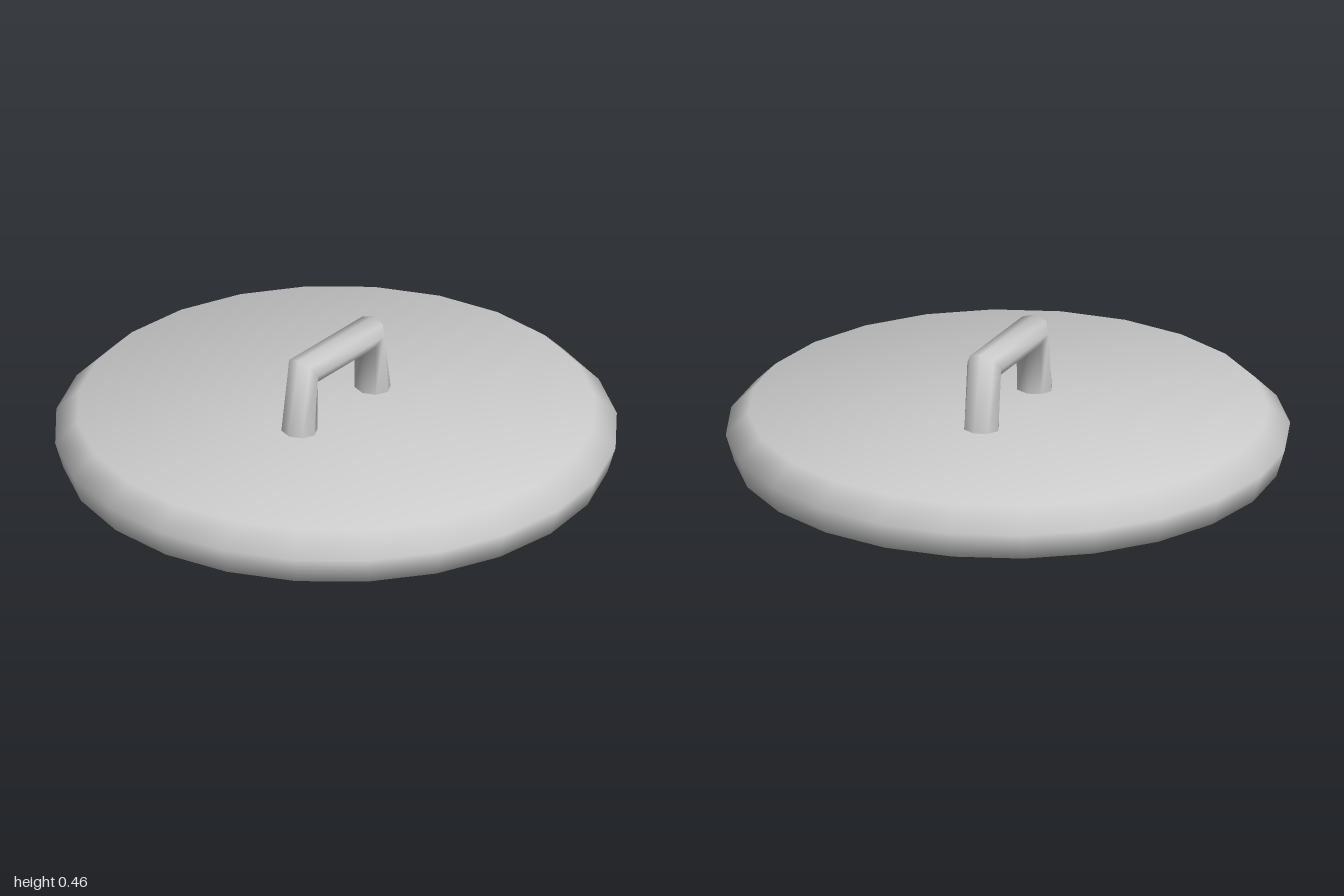
import * as THREE from 'three';

const SIDES = 24;

// Indexed mesh from rings of points (each ring the same length), optionally closed by extra triangles
function loft(rings, extraPoints = [], extraFaces = []) {
  const n = rings[0].length;
  const index = [...extraFaces];
  for (let r = 0; r < rings.length - 1; r++) {
    for (let i = 0; i < n; i++) {
      const a = r * n + i, b = r * n + (i + 1) % n;
      index.push(a, a + n, b, b, a + n, b + n);
    }
  }
  const geometry = new THREE.BufferGeometry().setFromPoints([...rings.flat(), ...extraPoints]);
  geometry.setIndex(index);
  geometry.computeVertexNormals();
  return geometry;
}

// Round disc with a bevelled rim; normals blend softly from the rim into both faces
function discGeometry() {
  // radius, height, tilt of the normal above the horizon
  const profile = [[0.97, 0, -0.9], [1, 0.1, 0.27], [0.92, 0.18, 1.18]];
  const rings = profile.map(([r, y]) => Array.from({ length: SIDES }, (_, i) => {
    const a = i / SIDES * Math.PI * 2;
    return new THREE.Vector3(Math.cos(a) * r, y, Math.sin(a) * r);
  }));
  const bottom = 3 * SIDES, top = bottom + 1, topRing = 2 * SIDES;
  const faces = [];
  for (let i = 0; i < SIDES; i++) {
    const j = (i + 1) % SIDES;
    faces.push(top, topRing + j, topRing + i);
    // The underside leaves one quarter segment open beyond a straight chord
    if (i >= SIDES / 4) faces.push(bottom, i, j);
  }
  faces.push(bottom, 0, SIDES / 4);
  const geometry = loft(rings, [new THREE.Vector3(0, 0, 0), new THREE.Vector3(0, 0.18, 0)], faces);
  const normal = geometry.attributes.normal;
  profile.forEach(([, , tilt], r) => {
    for (let i = 0; i < SIDES; i++) {
      const a = i / SIDES * Math.PI * 2;
      normal.setXYZ(r * SIDES + i, Math.cos(a) * Math.cos(tilt), Math.sin(tilt), Math.sin(a) * Math.cos(tilt));
    }
  });
  normal.setXYZ(bottom, 0, -1, 0);
  normal.setXYZ(top, 0, 1, 0);
  return geometry;
}

// Octagonal bar bent into an arch with mitred corners and flared feet
function handleGeometry() {
  // outer x, outer y, inner x, inner y
  const sections = [
    [-0.27, 0.175, -0.148, 0.175],
    [-0.215, 0.46, -0.158, 0.355],
    [0.215, 0.46, 0.158, 0.355],
    [0.27, 0.175, 0.148, 0.175],
  ];
  return loft(sections.map(([ox, oy, ix, iy]) => Array.from({ length: 8 }, (_, i) => {
    const a = i / 8 * Math.PI * 2, t = (1 + Math.cos(a)) / 2;
    return new THREE.Vector3(ix + (ox - ix) * t, iy + (oy - iy) * t, Math.sin(a) * 0.067);
  })).reverse());
}

export function createModel() {
  const group = new THREE.Group();
  group.name = 'lid';
  const grey = new THREE.MeshStandardMaterial({ color: 0xcccccc, side: THREE.DoubleSide });
  grey.name = 'light grey';

  const disc = new THREE.Mesh(discGeometry(), grey);
  disc.name = 'lidDisc';
  const handle = new THREE.Mesh(handleGeometry(), grey);
  handle.name = 'handle';
  group.add(disc, handle);
  return group;
}
